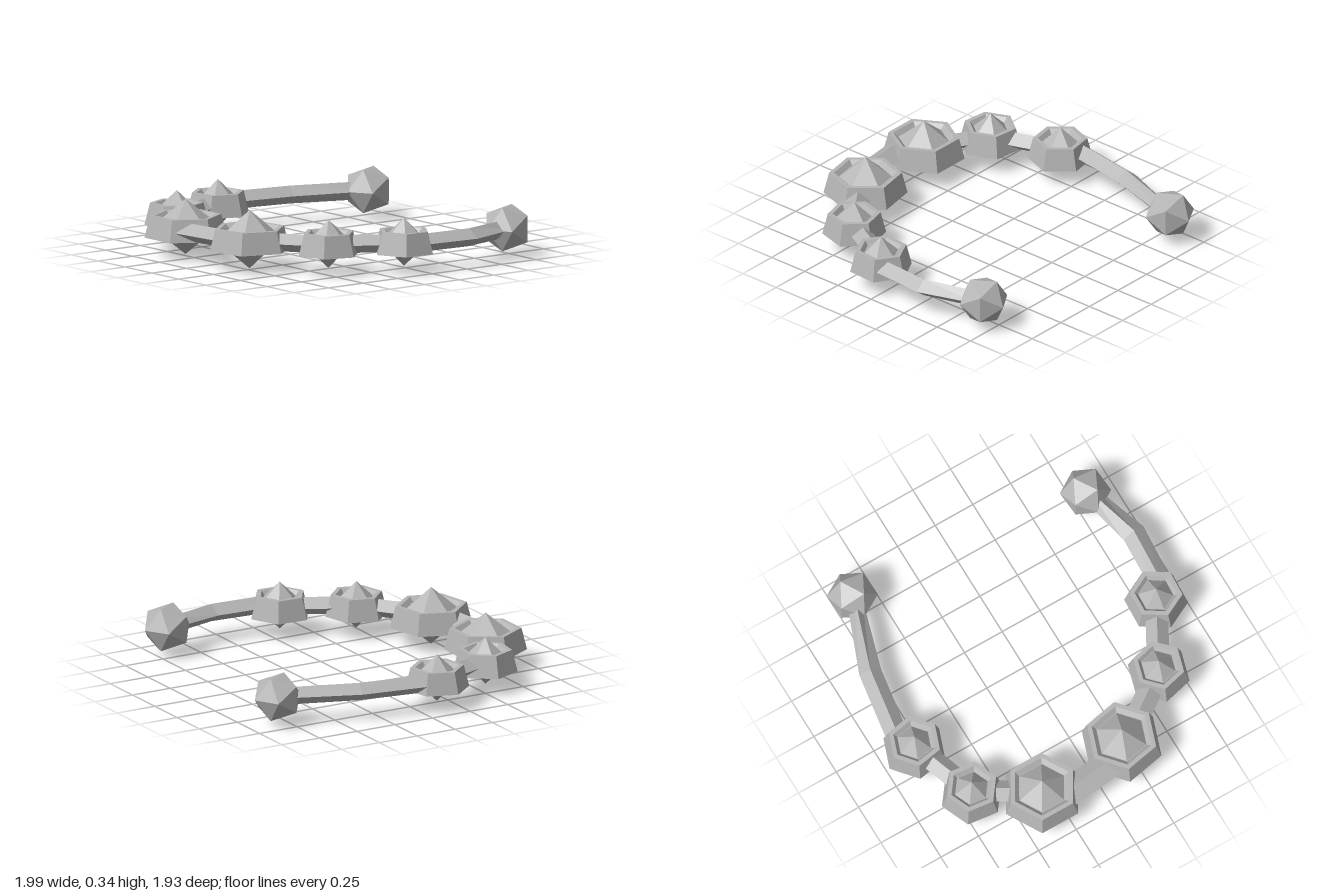
import * as THREE from 'three';

export function createModel() {
  const group = new THREE.Group();
  const grey = new THREE.MeshStandardMaterial({ color: 0xb4b4b4, flatShading: true });
  grey.name = 'grey';
  const rad = THREE.MathUtils.degToRad;

  function add(name, geometry, x, y, z, turn = 0) {
    const mesh = new THREE.Mesh(geometry, grey);
    mesh.name = name;
    mesh.position.set(x, y, z);
    mesh.rotation.y = turn;
    group.add(mesh);
  }

  // Six-sided solid of revolution from [radius, height] pairs
  const hexLathe = (profile) =>
    new THREE.LatheGeometry(profile.map(([r, y]) => new THREE.Vector2(r, y)), 6);

  // Diamond-section rod through [x, z, halfWidth] points
  function rod(points) {
    const y = 0.177, h = 0.052, pos = [], index = [];
    points.forEach(([x, z, w], i) => {
      const a = points[Math.max(i - 1, 0)];
      const b = points[Math.min(i + 1, points.length - 1)];
      const d = new THREE.Vector2(b[0] - a[0], b[1] - a[1]).normalize();
      const sx = -d.y * w, sz = d.x * w;
      pos.push(x + sx, y, z + sz, x, y + h, z, x - sx, y, z - sz, x, y - h, z);
      if (i === 0) return;
      for (let j = 0; j < 4; j++) {
        const k = (j + 1) % 4, p = (i - 1) * 4, q = i * 4;
        index.push(p + j, q + j, p + k, p + k, q + j, q + k);
      }
    });
    // End caps
    const e = (points.length - 1) * 4;
    index.push(0, 1, 2, 0, 2, 3, e, e + 2, e + 1, e, e + 3, e + 2);
    const g = new THREE.BufferGeometry();
    g.setAttribute('position', new THREE.Float32BufferAttribute(pos, 3));
    g.setIndex(index);
    const flat = g.toNonIndexed();
    flat.computeVertexNormals();
    return flat;
  }

  // Hexagonal settings with gems: x, z, outer radius, gem radius, gem half height, turn
  const stones = [
    [-0.815, 0.14, 0.187, 0.145, 0.14, 10],
    [-0.675, 0.545, 0.185, 0.145, 0.14, -7],
    [-0.33, 0.75, 0.237, 0.2, 0.16, 0],
    [0.22, 0.715, 0.24, 0.2, 0.17, 11],
    [0.62, 0.455, 0.183, 0.145, 0.14, 14],
    [0.83, 0.072, 0.183, 0.145, 0.14, 27],
  ];
  for (const [x, z, r, gemR, gemH, deg] of stones) {
    const turn = rad(90 + deg);
    const lip = gemR * (1 - 0.04 / gemH);
    add('setting', hexLathe([
      [0, 0.122], [r, 0.122], [r - 0.032, 0.25], [r - 0.06, 0.25], [lip, 0.225], [0, 0.225],
    ]), x, 0, z, turn);
    add('gem', hexLathe([[0, -gemH], [gemR, 0], [0, gemH]]), x, 0.182, z, turn);
  }

  // Short links between neighbouring settings
  const links = [
    [[-0.815, 0.14], [-0.675, 0.545], 0.065],
    [[-0.675, 0.545], [-0.33, 0.75], 0.065],
    [[-0.33, 0.85], [0.22, 0.79], 0.085],
    [[0.22, 0.75], [0.62, 0.46], 0.07],
    [[0.62, 0.455], [0.83, 0.072], 0.065],
  ];
  for (const [a, b, w] of links) add('link', rod([[...a, w], [...b, w]]), 0, 0, 0);

  // Bent arms reaching back to the end beads
  add('rightArm', rod([[-0.885, 0.14, 0.065], [-0.805, -0.37, 0.065], [-0.655, -0.8, 0.045]]), 0, 0, 0);
  add('leftArm', rod([[0.895, 0.07, 0.065], [0.92, -0.33, 0.07], [0.82, -0.68, 0.05]]), 0, 0, 0);

  // Faceted end beads
  add('rightBead', new THREE.IcosahedronGeometry(0.147, 0), -0.655, 0.178, -0.825, rad(-60));
  add('leftBead', new THREE.IcosahedronGeometry(0.147, 0), 0.812, 0.178, -0.687, rad(-58));

  return group;
}
